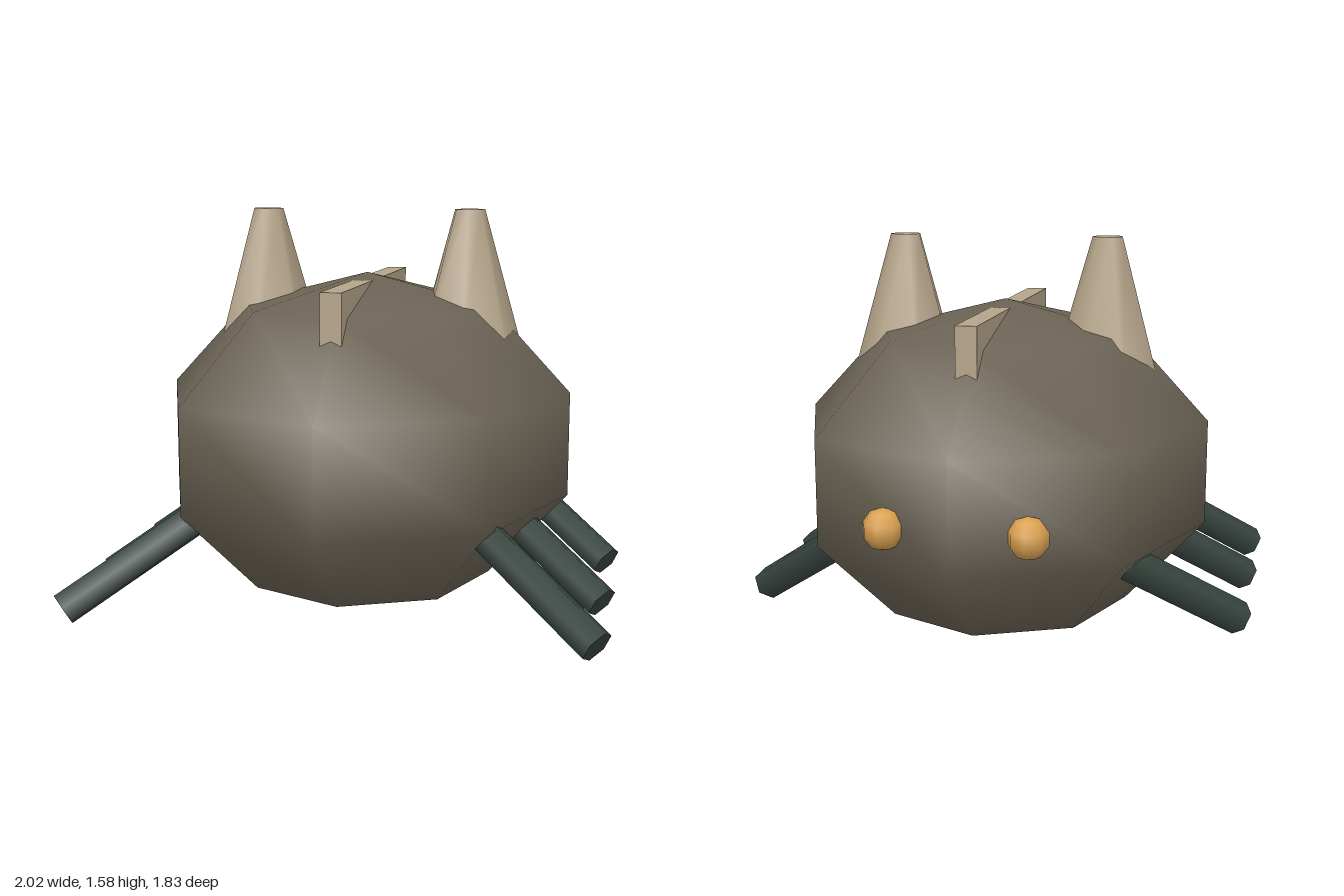
import * as THREE from 'three';

const shellMat = new THREE.MeshStandardMaterial({ color: 0x6b6355 });
const hornMat = new THREE.MeshStandardMaterial({ color: 0xb5a48a });
const legMat = new THREE.MeshStandardMaterial({ color: 0x38453f });
const eyeMat = new THREE.MeshStandardMaterial({ color: 0xd9a050 });

export function createModel() {
  const model = new THREE.Group();

  function add(name, geometry, material, x, y, z) {
    const mesh = new THREE.Mesh(geometry, material);
    mesh.name = name;
    mesh.position.set(x, y, z);
    model.add(mesh);
    return mesh;
  }

  // Coarse, smooth-shaded egg-shaped body
  add('body', new THREE.SphereGeometry(1, 8, 5), shellMat, 0, 0.667, 0)
    .scale.set(0.85, 0.664, 0.96);

  // Ridge along the back, sinking into the body at its crown
  add('backRidge', new THREE.BoxGeometry(0.08, 0.3, 1.28), hornMat, 0, 1.155, 0);

  const hornGeo = new THREE.CylinderGeometry(0.06, 0.23, 0.6, 7);
  const eyeGeo = new THREE.SphereGeometry(0.078, 8, 5);

  for (const [label, side] of [['left', 1], ['right', -1]]) {
    add(label + 'Horn', hornGeo, hornMat, side * 0.405, 1.28, 0);
    add(label + 'Eye', eyeGeo, eyeMat, side * 0.262, 0.6, -0.813);

    // Three legs splayed outward, down and forward
    [['Front', 0.835], ['Middle', 0.355], ['Rear', -0.19]].forEach(([row, tipZ]) => {
      const tip = new THREE.Vector3(side * 0.965, 0.143, tipZ);
      const root = new THREE.Vector3(side * 0.5, 0.468, tipZ - 0.314);
      const dir = tip.clone().sub(root);
      const mid = tip.clone().add(root).multiplyScalar(0.5);
      const leg = add(label + row + 'Leg', new THREE.CylinderGeometry(0.066, 0.066, dir.length(), 6),
        legMat, mid.x, mid.y, mid.z);
      leg.quaternion.setFromUnitVectors(new THREE.Vector3(0, 1, 0), dir.normalize());
    });
  }
  return model;
}
